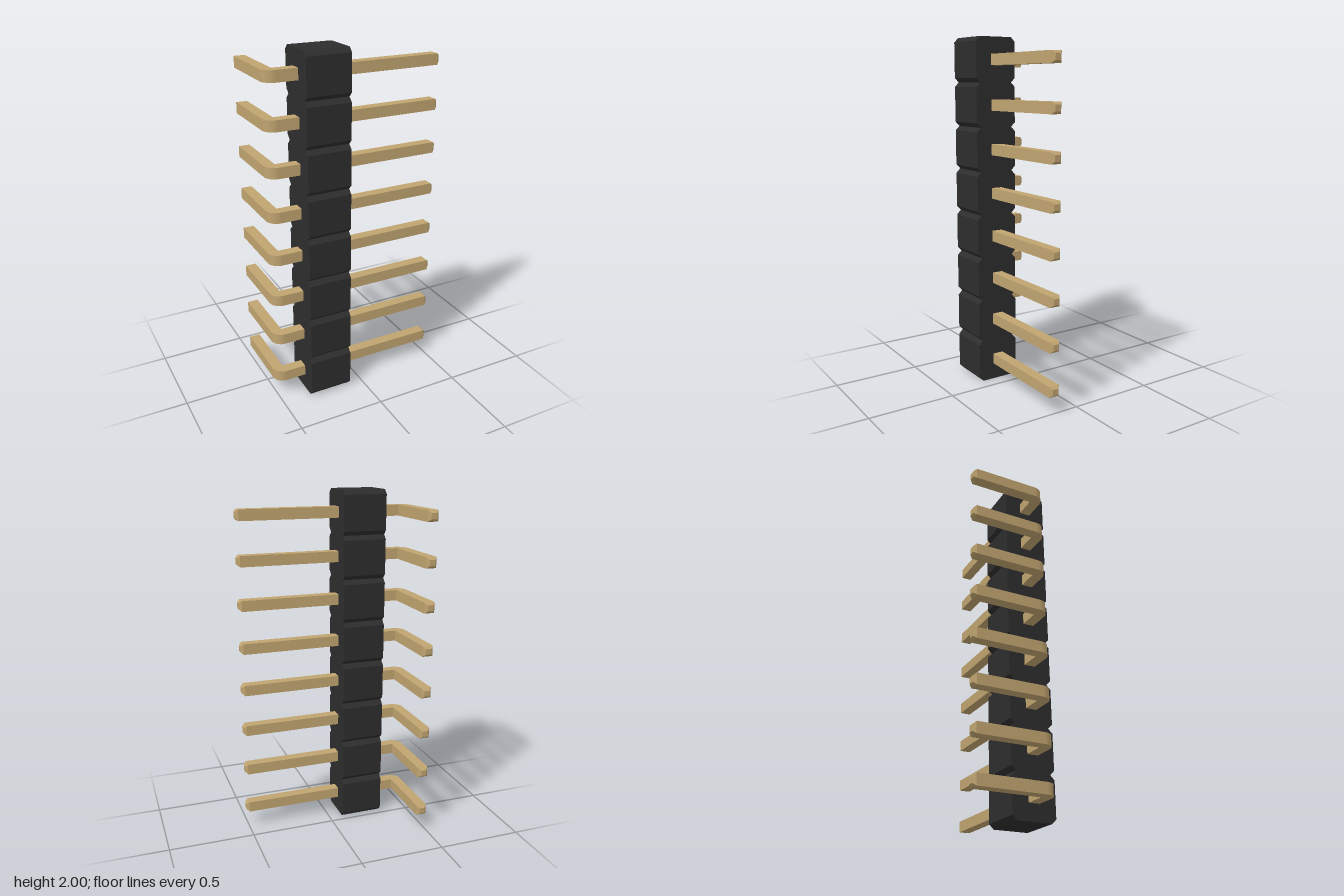
import * as THREE from 'three';
import { toCreasedNormals } from 'three/addons/utils/BufferGeometryUtils.js';

const COUNT = 8, PITCH = 0.25, HALF = PITCH / 2, CHAMFER = 0.025;
const PIN = 0.062, TIP = 0.016, TIP_WIDTH = 0.034;
const ROW_Z = 0.148, BODY_X = -0.33, END_X = 0.51, BACK_Z = -0.273;

// One chain of chamfered blocks, extruded across x
function housingGeometry() {
  const side = [];
  for (let i = 0; i < COUNT; i++) {
    const y = i * PITCH;
    side.push([HALF - CHAMFER, y], [HALF, y + CHAMFER], [HALF, y + PITCH - CHAMFER], [HALF - CHAMFER, y + PITCH]);
  }
  const outline = [...side, ...side.map(([x, y]) => [-x, y]).reverse()]
    .filter(([x, y], i, all) => i === 0 || x !== all[i - 1][0] || y !== all[i - 1][1]);
  const shape = new THREE.Shape(outline.map(([x, y]) => new THREE.Vector2(x, y)));
  return new THREE.ExtrudeGeometry(shape, { depth: PITCH, bevelEnabled: false }).rotateY(Math.PI / 2);
}

// Right-angle pin drawn in x and z: sharp inside corner, rounded outside corner
function pinGeometry() {
  const near = ROW_Z - PIN / 2, far = ROW_Z + PIN / 2;
  const shape = new THREE.Shape();
  shape.moveTo(-END_X, BACK_Z + TIP);
  shape.lineTo(-END_X + PIN, BACK_Z + TIP);
  shape.lineTo(-END_X + PIN, near);
  shape.lineTo(END_X - TIP, near);
  shape.lineTo(END_X - TIP, far);
  shape.lineTo(-END_X + PIN, far);
  shape.absarc(-END_X + PIN, near, PIN, Math.PI / 2, Math.PI, false);
  shape.closePath();
  const geometry = new THREE.ExtrudeGeometry(shape, { depth: PIN, bevelEnabled: false, curveSegments: 8 });
  geometry.translate(0, 0, -PIN / 2).rotateX(Math.PI / 2);
  return toCreasedNormals(geometry, 0.5);
}

// Small square frustum pointing up y
function tipGeometry() {
  const geometry = new THREE.CylinderGeometry(TIP_WIDTH * Math.SQRT1_2, PIN * Math.SQRT1_2, TIP, 4);
  return toCreasedNormals(geometry.rotateY(Math.PI / 4), 0.3);
}

export function createModel() {
  const model = new THREE.Group();
  model.name = 'rightAnglePinHeader';
  const plastic = new THREE.MeshStandardMaterial({ color: 0x2d2d2d });
  plastic.name = 'blackPlastic';
  const gold = new THREE.MeshStandardMaterial({ color: 0xc0a470 });
  gold.name = 'goldMetal';

  const add = (parent, name, geometry, material, x = 0, y = 0, z = 0) => {
    const mesh = new THREE.Mesh(geometry, material);
    mesh.name = name;
    mesh.position.set(x, y, z);
    parent.add(mesh);
    return mesh;
  };

  add(model, 'housing', housingGeometry(), plastic, BODY_X, 0, ROW_Z);

  // Pins, one through the middle of each block
  const pin = pinGeometry();
  const sideTip = tipGeometry().rotateZ(-Math.PI / 2);
  const backTip = tipGeometry().rotateX(-Math.PI / 2);
  for (let i = 0; i < COUNT; i++) {
    const group = new THREE.Group();
    group.name = `pin${i + 1}`;
    group.position.y = (i + 0.5) * PITCH;
    add(group, 'bentPin', pin, gold);
    add(group, 'sideTip', sideTip, gold, END_X - TIP / 2, 0, ROW_Z);
    add(group, 'backTip', backTip, gold, -END_X + PIN / 2, 0, BACK_Z + TIP / 2);
    model.add(group);
  }
  return model;
}
